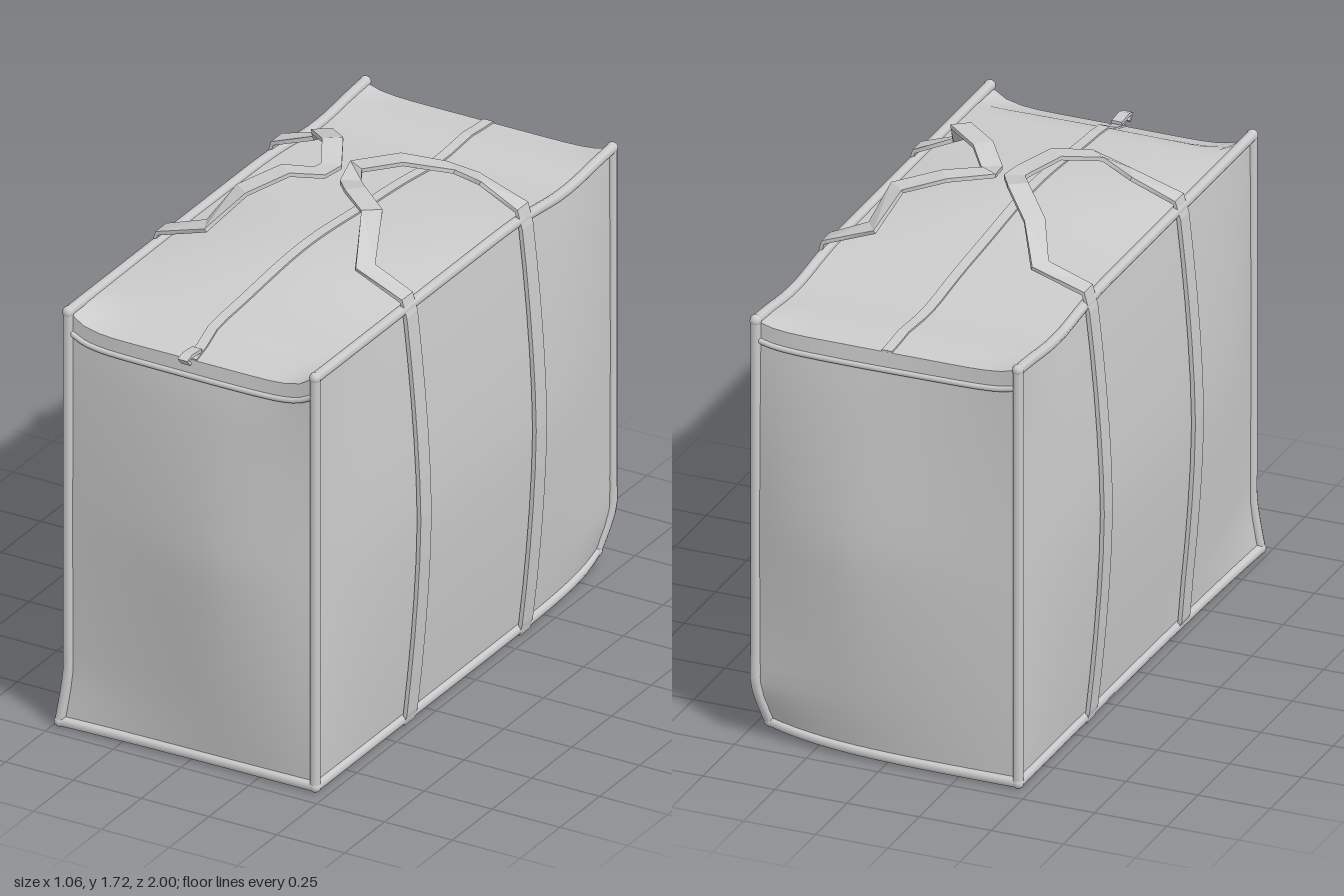
import * as THREE from 'three';

const material = new THREE.MeshStandardMaterial({ color: 0xcccccc });
const V = (x, y, z) => new THREE.Vector3(x, y, z);
const UP = V(0, 1, 0);

// Maps the cube -1..1 to the soft, stuffed shape of the bag.
function warp(u, v, w) {
  const side = (1 - Math.abs(v) ** 1.6) * (1 - Math.abs(w) ** 4);
  const end = (1 - Math.abs(v) ** 1.4) * (1 - Math.abs(u - 0.25 * (1 - u * u)) ** 1.6);
  let x = u * (0.455 + 0.055 * side);
  let y = 0.75 + 0.73 * v;
  let z = w * (0.932 + 0.068 * end);

  // Lid: a dome towards the front, a sag towards the back, rounded ends
  const lid = THREE.MathUtils.smoothstep(v, 0.7, 1);
  const dome = 0.042 * Math.exp(-(((w - 0.25) / 0.42) ** 2)) * (1 - u * u);
  const sag = 0.028 * Math.exp(-(((w + 0.68) / 0.22) ** 2));
  const fold = (w > 0 ? 0.055 : 0.025) * THREE.MathUtils.smoothstep(Math.abs(w), 0.82, 1) * (1 - u ** 8);
  y += lid * (dome - sag - fold);

  // One lower corner flares outwards, the opposite one is tucked in
  const low = Math.max(0, (-v - 0.78) / 0.22);
  const flare = low * ((1 - u) / 2) ** 3 * ((1 + w) / 2) ** 4;
  const tuck = low * ((1 + u) / 2) ** 4 * ((1 - w) / 2) ** 10;
  x -= 0.022 * flare + 0.03 * tuck;
  z += 0.015 * flare + 0.045 * tuck;
  y += 0.03 * tuck;
  return V(x, y, z);
}

function addMesh(group, name, geometry) {
  const mesh = new THREE.Mesh(geometry, material);
  mesh.name = name;
  group.add(mesh);
  return mesh;
}

// Flat webbing along points; sides[i] overrides the width direction.
function ribbon(points, sides, halfWidth, halfThick) {
  const rings = points.map((p, i) => {
    const t = points[Math.min(i + 1, points.length - 1)].clone()
      .sub(points[Math.max(i - 1, 0)]).normalize();
    const s = (sides[i] || t.clone().cross(UP)).clone().normalize();
    const n = s.clone().cross(t).normalize();
    return [[1, 1], [-1, 1], [-1, -1], [1, -1]].map(([a, b]) =>
      p.clone().addScaledVector(s, a * halfWidth).addScaledVector(n, b * halfThick));
  });
  const pos = [];
  const quad = (a, b, c, d) => [a, b, c, a, c, d].forEach((q) => pos.push(q.x, q.y, q.z));
  for (let i = 0; i < rings.length - 1; i++) {
    for (let j = 0; j < 4; j++) {
      const k = (j + 1) % 4;
      quad(rings[i][j], rings[i + 1][j], rings[i + 1][k], rings[i][k]);
    }
  }
  const [a, z] = [rings[0], rings[rings.length - 1]];
  quad(a[0], a[1], a[2], a[3]);
  quad(z[0], z[3], z[2], z[1]);
  const geometry = new THREE.BufferGeometry();
  geometry.setAttribute('position', new THREE.Float32BufferAttribute(pos, 3));
  geometry.computeVertexNormals();
  return geometry;
}

// Samples a straight line of the cube after warping.
function edge(from, to, steps) {
  return Array.from({ length: steps + 1 }, (_, i) => {
    const p = V(...from).lerp(V(...to), i / steps);
    return warp(p.x, p.y, p.z);
  });
}

function piping(group, name, from, to, radius = 0.018) {
  const curve = new THREE.CatmullRomCurve3(edge(from, to, 16));
  addMesh(group, name, new THREE.TubeGeometry(curve, 32, radius, 8));
}

export function createModel() {
  const bag = new THREE.Group();
  bag.name = 'holdall';

  // Stuffed body
  const body = new THREE.BoxGeometry(2, 2, 2, 16, 24, 28);
  const pos = body.attributes.position;
  for (let i = 0; i < pos.count; i++) {
    const p = warp(pos.getX(i), pos.getY(i), pos.getZ(i));
    pos.setXYZ(i, p.x, p.y, p.z);
  }
  body.computeVertexNormals();
  addMesh(bag, 'body', body);

  // Piping on the edges, with rounded corners
  const trim = new THREE.Group();
  trim.name = 'piping';
  bag.add(trim);
  for (const a of [-1, 1]) {
    for (const b of [-1, 1]) {
      piping(trim, 'uprightPiping', [a, -1, b], [a, 1, b]);
      piping(trim, 'longPiping', [a, b, -1], [a, b, 1]);
      for (const c of [-1, 1]) {
        addMesh(trim, 'corner', new THREE.SphereGeometry(0.02, 10, 8)).position.copy(warp(a, b, c));
      }
    }
    piping(trim, 'bottomEndPiping', [-1, -1, a], [1, -1, a]);
    piping(trim, 'endSeam', [-1, 0.91, a], [1, 0.91, a], 0.01);
  }

  // Zip along the lid, ending in a small pull
  const zip = edge([0, 1, -1], [0, 1, 1], 28);
  zip.forEach((p) => { p.y += 0.002; });
  addMesh(bag, 'zip', ribbon(zip, [], 0.018, 0.004));
  const pull = [V(0, 1.45, 0.9), V(0, 1.455, 0.96), V(0, 1.45, 0.985), V(0, 1.43, 0.965)];
  addMesh(bag, 'zipPull', ribbon(pull, pull.map(() => V(-1, 0, 0)), 0.018, 0.006));

  // Carrying straps: up one side, over in a loop, and down again
  const loops = {
    1: [[0.3, 1.58, -0.36], [0.27, 1.67, -0.23], [0.14, 1.7, -0.15], [0.03, 1.69, -0.05],
      [0.05, 1.67, 0.02], [0.12, 1.7, 0.11], [0.24, 1.7, 0.21], [0.3, 1.58, 0.355]],
    [-1]: [[-0.29, 1.57, -0.38], [-0.22, 1.66, -0.26], [-0.11, 1.71, -0.14], [-0.05, 1.68, -0.03],
      [-0.06, 1.68, 0.03], [-0.13, 1.71, 0.12], [-0.22, 1.67, 0.24], [-0.29, 1.57, 0.345]],
  };
  for (const s of [1, -1]) {
    const run = (z) => {
      const points = [V(s * 0.36, 0.01, z), V(s * 0.465, 0.008, z)];
      for (let i = 0; i <= 10; i++) {
        const p = warp(s, -0.97 + i * 0.194, z / 0.94);
        p.x += s * 0.013;
        p.z = z;
        points.push(p);
      }
      points.push(V(s * 0.455, 1.515, z));
      return points;
    };
    const up = run(s > 0 ? -0.365 : -0.38);
    const down = run(s > 0 ? 0.36 : 0.345).reverse();
    const loop = loops[s].map((p) => V(...p));
    const sides = [
      ...up.map(() => V(0, 0, -s)),
      ...loop.map(() => null),
      ...down.map(() => V(0, 0, s)),
    ];
    addMesh(bag, s > 0 ? 'leftStrap' : 'rightStrap',
      ribbon([...up, ...loop, ...down], sides, 0.034, 0.007));
  }
  return bag;
}
